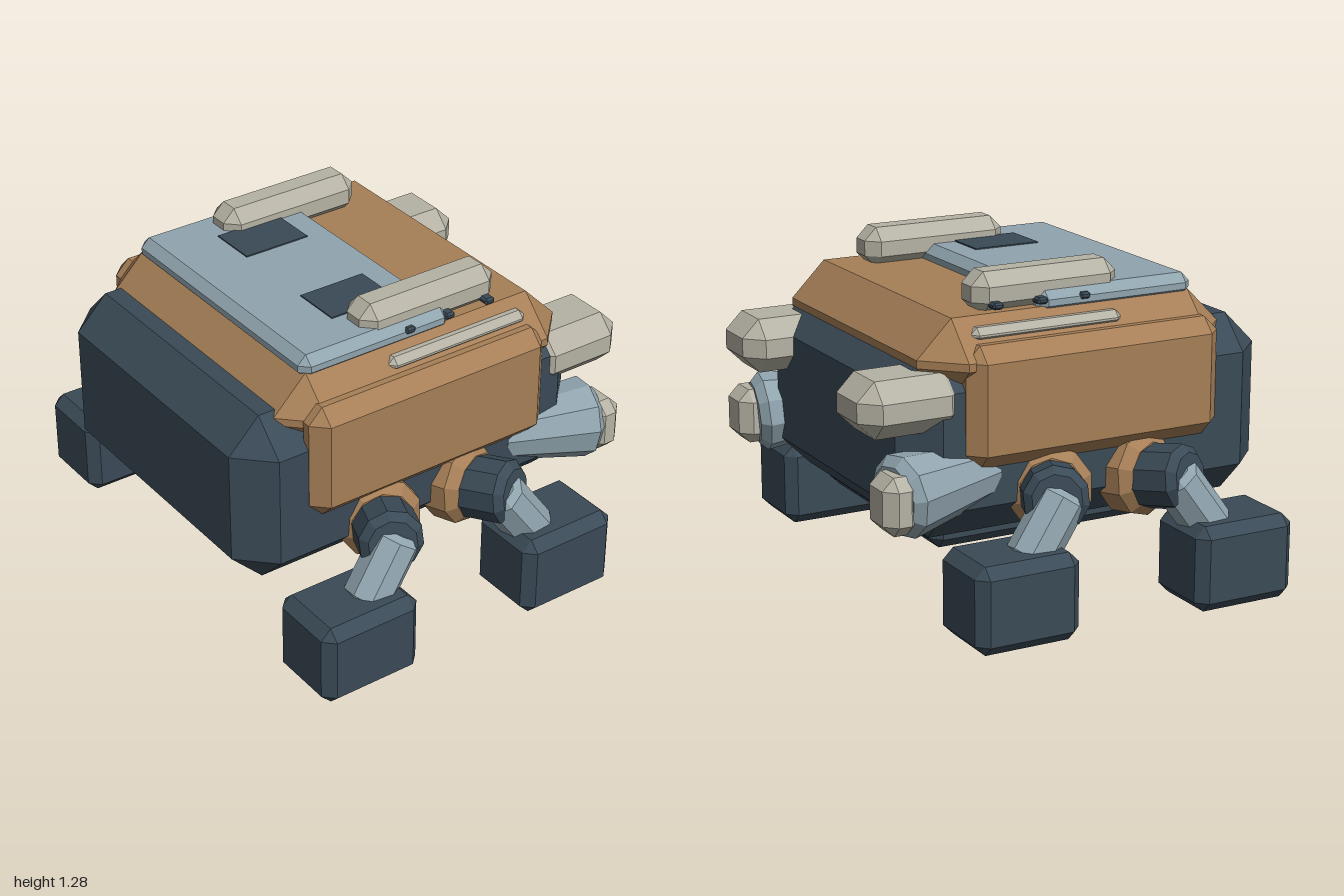
import * as THREE from 'three';
import { ConvexGeometry } from 'three/addons/geometries/ConvexGeometry.js';

const material = (name, color) => {
  const m = new THREE.MeshStandardMaterial({ color, flatShading: true });
  m.name = name;
  return m;
};

export function createModel() {
  const dark = material('dark slate', 0x3a4a56);
  const brown = material('brown armour', 0xa67f57);
  const blue = material('blue grey', 0x90a4ae);
  const pale = material('pale stone', 0xb5b2a4);

  const model = new THREE.Group();
  model.name = 'walker';

  const add = (name, geometry, mat, parent = model) => {
    const mesh = new THREE.Mesh(geometry, mat);
    mesh.name = name;
    parent.add(mesh);
    return mesh;
  };

  // Box given by its limits, with every edge cut at 45 degrees
  const chamferBox = (name, mat, [x0, x1], [y0, y1], [z0, z1], c, parent) => {
    const h = [(x1 - x0) / 2, (y1 - y0) / 2, (z1 - z0) / 2];
    const points = [];
    for (const sx of [-1, 1]) for (const sy of [-1, 1]) for (const sz of [-1, 1]) {
      for (let full = 0; full < 3; full++) {
        const p = h.map((v, i) => (i === full ? v : v - c));
        points.push(new THREE.Vector3(p[0] * sx, p[1] * sy, p[2] * sz));
      }
    }
    const mesh = add(name, new ConvexGeometry(points), mat, parent);
    mesh.position.set((x0 + x1) / 2, (y0 + y1) / 2, (z0 + z1) / 2);
    return mesh;
  };

  // Faceted limb between two points, with bevelled ends
  const limb = (name, mat, from, to, r0, r1, bevel, sides, parent) => {
    const a = new THREE.Vector3(...from);
    const axis = new THREE.Vector3(...to).sub(a);
    const length = axis.length();
    const profile = [
      [0, 0], [r0 - bevel, 0], [r0, bevel],
      [r1, length - bevel], [r1 - bevel, length], [0, length],
    ].map(([r, y]) => new THREE.Vector2(r, y));
    const mesh = add(name, new THREE.LatheGeometry(profile, sides), mat, parent);
    mesh.position.copy(a);
    mesh.quaternion.setFromUnitVectors(new THREE.Vector3(0, 1, 0), axis.normalize());
    return mesh;
  };

  // Limits mirrored for the side s = 1 or -1
  const side = (s, a, b) => (s > 0 ? [a, b] : [-b, -a]);

  // Hull, belly and armoured roof
  chamferBox('hull', dark, [-0.66, 0.66], [0.315, 1.02], [-0.68, 0.865], 0.13);
  chamferBox('belly', dark, [-0.48, 0.48], [0.235, 0.4], [-0.5, 0.68], 0.04);
  chamferBox('roofArmour', brown, [-0.69, 0.69], [0.83, 1.14], [-0.6, 0.685], 0.14);
  chamferBox('roofPlate', blue, [-0.565, 0.565], [1.105, 1.2], [-0.1, 0.565], 0.035);

  for (const s of [1, -1]) {
    // Side armour with its trim rail
    chamferBox('sideArmour', brown, side(s, 0.57, 0.72), [0.595, 1.055], [-0.46, 0.61], 0.058);
    chamferBox('sideRail', pale, side(s, 0.56, 0.63), [1.05, 1.108], [-0.41, 0.22], 0.025);

    // Roof pods, hatches and studs
    chamferBox('roofPod', pale, side(s, 0.36, 0.535), [1.12, 1.28], [-0.345, 0.265], 0.05);
    const hatch = add('roofHatch', new THREE.BoxGeometry(0.2, 0.008, 0.28), dark);
    hatch.position.set(s * 0.28, 1.201, 0.17);
    for (const z of [0.09, -0.09, -0.275]) {
      chamferBox('podStud', dark, side(s, 0.52, 0.572), [1.152, 1.178], [z - 0.022, z + 0.022], 0.008);
    }

    // Rear pods and thrusters
    chamferBox('rearPod', pale, side(s, 0.365, 0.675), [0.745, 0.96], [-0.865, -0.45], 0.07);
    limb('thruster', blue, [s * 0.55, 0.56, -0.3], [s * 0.635, 0.525, -0.74], 0.11, 0.16, 0.035, 10);
    chamferBox('thrusterNozzle', pale, side(s, 0.56, 0.755), [0.41, 0.63], [-0.82, -0.68], 0.045);

    // Legs, front and back mirrored about the middle of the hull
    for (const f of [1, -1]) {
      const leg = new THREE.Group();
      leg.name = f > 0 ? 'frontLeg' : 'backLeg';
      model.add(leg);
      const at = (x, y, z) => [s * x, y, 0.0925 + f * z];
      limb('hip', brown, at(0.54, 0.465, 0.165), at(0.71, 0.48, 0.22), 0.165, 0.165, 0.04, 10, leg);
      limb('thigh', dark, at(0.62, 0.46, 0.18), at(0.86, 0.5, 0.285), 0.125, 0.125, 0.03, 10, leg);
      limb('shin', blue, at(0.82, 0.51, 0.23), at(0.84, 0.27, 0.4), 0.095, 0.095, 0.025, 8, leg);
      const z = 0.0925 + f * 0.4625;
      chamferBox('foot', dark, side(s, 0.67, 1), [0, 0.335], [z - 0.213, z + 0.213], 0.042, leg);
    }
  }

  return model;
}
